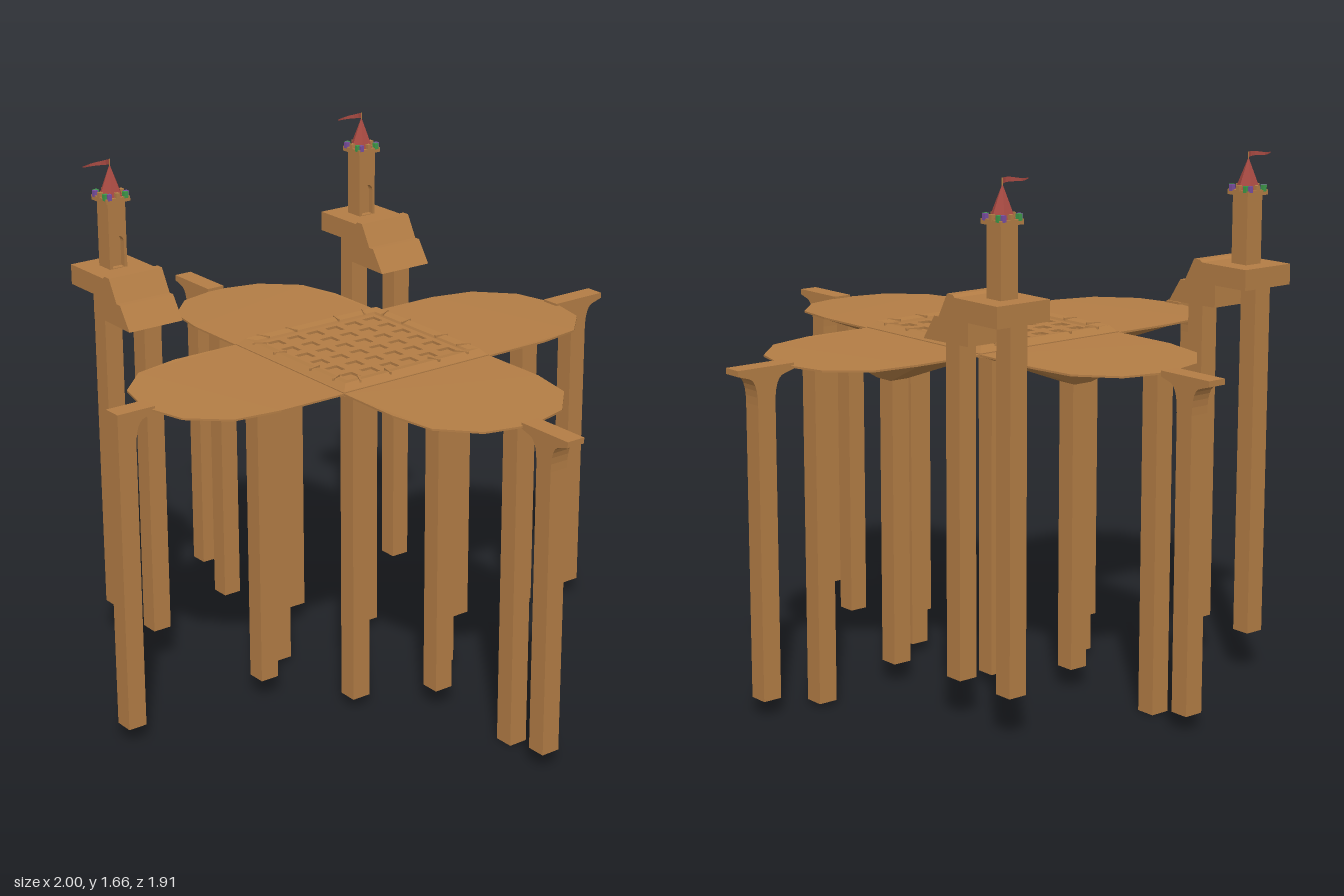
import * as THREE from 'three';

const mat = (color) => new THREE.MeshStandardMaterial({ color, flatShading: true, side: THREE.DoubleSide });
const CX = 0.005, CZ = 0.033; // middle of the square deck

export function createModel() {
  const model = new THREE.Group();
  const wood = mat(0xb37d45), red = mat(0xa84a42), green = mat(0x3f9a4a), purple = mat(0x7a4fa0);

  const add = (parent, name, geometry, material = wood, x = 0, y = 0, z = 0) => {
    const mesh = new THREE.Mesh(geometry, material);
    mesh.name = name;
    mesh.position.set(x, y, z);
    parent.add(mesh);
    return mesh;
  };
  const box = (parent, name, w, h, d, x, y, z, material = wood) =>
    add(parent, name, new THREE.BoxGeometry(w, h, d), material, x, y, z);
  const post = (parent, name, x, z, bottom, top, w = 0.063) =>
    box(parent, name, w, top - bottom, w, x, (top + bottom) / 2, z);
  const shapeOf = (points) => new THREE.Shape(points.map(([x, y]) => new THREE.Vector2(x, y)));
  const extrude = (shape, depth) =>
    new THREE.ExtrudeGeometry(shape, { depth, bevelEnabled: false, curveSegments: 6 });

  // Central deck with a bevelled rim, waffle ribs and edge slats
  const deck = new THREE.Group();
  deck.name = 'centralDeck';
  deck.position.set(CX, 0, CZ);
  model.add(deck);
  box(deck, 'deckSlab', 0.568, 0.014, 0.568, 0, 1.078, 0);
  const rimShape = shapeOf([[-0.284, 1.08], [-0.262, 1.104], [-0.235, 1.1], [-0.225, 1.08]]);
  for (let i = 0; i < 4; i++) {
    const side = new THREE.Group();
    side.name = 'rimSide';
    side.rotation.y = i * Math.PI / 2;
    deck.add(side);
    // Mitre the ends of each rim bar
    const bar = extrude(rimShape, 1);
    const p = bar.attributes.position;
    for (let j = 0; j < p.count; j++) p.setZ(j, (p.getZ(j) - 0.5) * 2 * Math.abs(p.getX(j)));
    bar.computeVertexNormals();
    add(side, 'rim', bar);
    for (const t of [-0.2, -0.09, 0.09, 0.2]) {
      const slat = box(side, 'rimSlat', 0.045, 0.008, 0.006, -0.25, 1.102, t);
      slat.rotation.y = t * 2.5;
    }
  }
  for (let i = 0; i < 7; i++) {
    const t = -0.228 + i * 0.076;
    box(deck, 'waffleRib', 0.47, 0.01, 0.03, 0, 1.088, t);
    box(deck, 'waffleRib', 0.03, 0.01, 0.47, t, 1.088, 0);
  }

  // Four rounded leaves, each with an inverted pyramid on a post
  const half = [[0.284, 0.284], [0.515, 0.284], [0.665, 0.256], [0.774, 0.15], [0.803, 0.033]];
  const leafShape = shapeOf([...half, ...half.map(([x, y]) => [x, -y]).reverse()]);
  for (let i = 0; i < 4; i++) {
    const leaf = new THREE.Group();
    leaf.name = 'leaf';
    leaf.position.set(CX, 0, CZ);
    leaf.rotation.y = i * Math.PI / 2;
    model.add(leaf);
    const sheet = extrude(leafShape, 0.006).rotateX(-Math.PI / 2);
    const s = sheet.attributes.position;
    for (let j = 0; j < s.count; j++) // outer end sags slightly
      s.setY(j, s.getY(j) - Math.max(0, s.getX(j) - 0.515) * 0.02);
    sheet.computeVertexNormals();
    add(leaf, 'leafTop', sheet, wood, 0, 1.076, 0);
    const funnel = new THREE.BoxGeometry(0.231, 0.097, 0.568);
    const f = funnel.attributes.position;
    for (let j = 0; j < f.count; j++) if (f.getY(j) < 0) {
      f.setX(j, Math.sign(f.getX(j)) * 0.033);
      f.setZ(j, Math.sign(f.getZ(j)) * 0.033);
    }
    funnel.computeVertexNormals();
    add(leaf, 'leafFunnel', funnel, wood, 0.3995, 1.0285, 0);
    post(leaf, 'leafPost', 0.393, 0, 0.066, 0.985);
  }

  // Posts under the deck corners and leaf tips: x, z, bottom, top
  for (const [x, z, b, t] of [
    [-0.198, -0.132, 0.035, 1.075], [-0.16, 0.256, 0.02, 1.075],
    [0.207, -0.132, 0.035, 1.075], [0.236, 0.236, 0.035, 1.075],
    [0.72, 0, 0, 1.06], [-0.72, 0.07, 0, 1.06], [-0.03, -0.675, 0.015, 1.07],
  ]) post(model, 'supportPost', x, z, b, t);

  // Outer posts with flared landing heads
  const bracket = (x, z, angle, flareOut) => {
    const sh = new THREE.Shape();
    sh.moveTo(-0.031, 0.053);
    sh.lineTo(-0.031, 0.97);
    sh.quadraticCurveTo(-0.031, 1.05, -0.065, 1.056);
    sh.lineTo(-0.1, 1.066);
    sh.lineTo(-0.1, 1.084);
    if (flareOut) {
      sh.lineTo(0.1, 1.084);
      sh.lineTo(0.1, 1.066);
      sh.lineTo(0.065, 1.056);
      sh.quadraticCurveTo(0.031, 1.05, 0.031, 0.97);
    } else sh.lineTo(0.031, 1.084);
    sh.lineTo(0.031, 0.053);
    const m = add(model, 'landingPost', extrude(sh, 0.063).translate(0, 0, -0.0315), wood, x, 0, z);
    m.rotation.y = angle;
  };
  bracket(0.9, 0.028, 0, true);
  bracket(0.005, -0.857, Math.PI / 2, true);
  bracket(-0.903, 0.034, Math.PI, true);
  bracket(0.005, 0.924, -Math.PI / 2, false);

  // Two stepped towers
  const steps = shapeOf([
    [-0.68, 1.25], [-0.55, 1.25], [-0.55, 1.18], [-0.345, 1.176], [-0.395, 1.25], [-0.415, 1.25],
    [-0.455, 1.323], [-0.48, 1.323], [-0.49, 1.315], [-0.68, 1.315],
  ]);
  // Wall with an arched doorway, drawn in z and y
  const wall = shapeOf([[-0.032, 1.31], [0.032, 1.31], [0.032, 1.535], [-0.032, 1.535]]);
  const door = new THREE.Path();
  door.moveTo(-0.022, 1.317);
  door.lineTo(-0.022, 1.398);
  door.absarc(0, 1.398, 0.022, Math.PI, 0, true);
  door.lineTo(0.022, 1.317);
  wall.holes.push(door);
  for (const z of [0.568, -0.42]) {
    const tower = new THREE.Group();
    tower.name = 'tower';
    tower.position.z = z;
    model.add(tower);
    add(tower, 'steppedPlatform', extrude(steps, 0.196).translate(0, 0, -0.098));
    post(tower, 'towerOuterPost', -0.628, 0, 0.135, 1.255);
    post(tower, 'towerInnerPost', -0.397, 0, 0.13, 1.185);
    box(tower, 'towerShaft', 0.044, 0.225, 0.064, -0.595, 1.4225, 0);
    add(tower, 'doorWall', extrude(wall, 0.02).rotateY(Math.PI / 2), wood, -0.573, 0, 0);
    box(tower, 'towerCornice', 0.088, 0.016, 0.088, -0.585, 1.538, 0);
    for (let i = 0; i < 12; i++) { // coloured ornaments around the cornice
      const side = Math.floor(i / 3) * Math.PI / 2, t = (i % 3 - 1) * 0.03;
      const c = Math.cos(side), n = Math.sin(side);
      box(tower, 'corniceOrnament', 0.014, 0.02, 0.014, -0.585 + c * 0.038 - n * t, 1.551,
        n * 0.038 + c * t, [green, wood, purple][i % 3]);
    }
    add(tower, 'roof', new THREE.ConeGeometry(0.04, 0.1, 6), red, -0.585, 1.595, 0);
    add(tower, 'flagPole', new THREE.CylinderGeometry(0.002, 0.002, 0.03, 5), wood, -0.585, 1.647, 0);
    // Waving pennant, tapering along +z
    const flag = new THREE.PlaneGeometry(0.1, 0.018, 6, 1).rotateY(-Math.PI / 2).translate(0, 0, 0.05);
    const p = flag.attributes.position;
    for (let j = 0; j < p.count; j++) {
      const k = p.getZ(j) / 0.1;
      p.setX(j, Math.sin(k * 7) * 0.006);
      p.setY(j, p.getY(j) * (1 - k * 0.8) + Math.sin(k * 6) * 0.002);
    }
    flag.computeVertexNormals();
    add(tower, 'flag', flag, red, -0.585, 1.653, 0);
  }
  return model;
}
